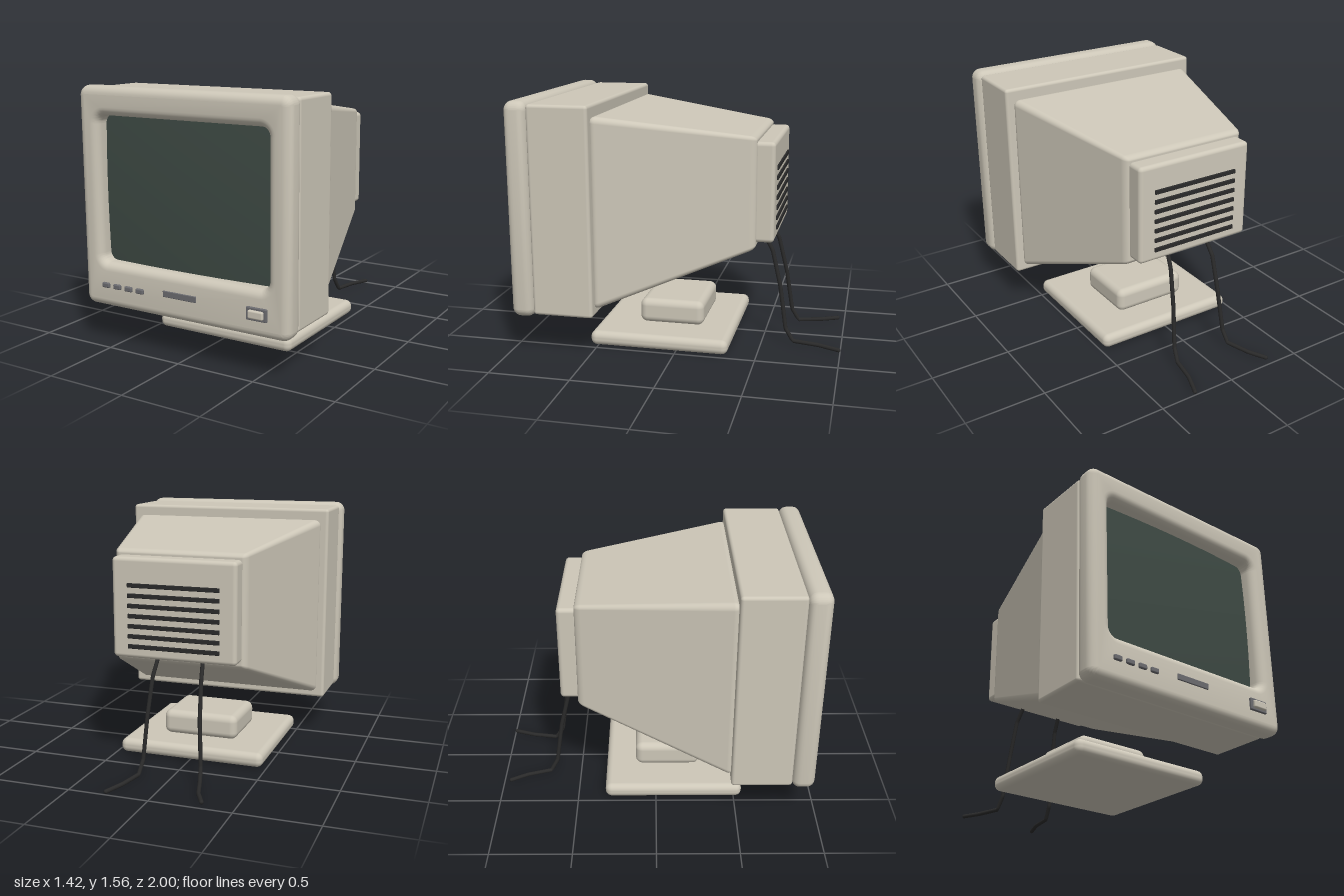
import * as THREE from 'three';
import { RoundedBoxGeometry } from 'three/addons/geometries/RoundedBoxGeometry.js';
import { mergeVertices, toCreasedNormals } from 'three/addons/utils/BufferGeometryUtils.js';

const mat = (color) => new THREE.MeshStandardMaterial({ color });

// Rounded rectangle outline, used for both the bezel and its opening
function roundedRect(path, x0, x1, y0, y1, r) {
  path.moveTo(x0 + r, y0);
  path.lineTo(x1 - r, y0);
  path.absarc(x1 - r, y0 + r, r, -Math.PI / 2, 0);
  path.lineTo(x1, y1 - r);
  path.absarc(x1 - r, y1 - r, r, 0, Math.PI / 2);
  path.lineTo(x0 + r, y1);
  path.absarc(x0 + r, y1 - r, r, Math.PI / 2, Math.PI);
  path.lineTo(x0, y0 + r);
  path.absarc(x0 + r, y0 + r, r, Math.PI, Math.PI * 1.5);
  return path;
}

// Rear housing: a rounded box that narrows towards the back, normals adjusted to match
function taperedHousing() {
  const zFront = 0.47, zBack = -0.48, depth = zFront - zBack;
  const geo = new RoundedBoxGeometry(1.3, 1.18, depth, 5, 0.04);
  geo.translate(0, 0, (zFront + zBack) / 2);
  const pos = geo.attributes.position, nor = geo.attributes.normal;
  const n = new THREE.Vector3();
  const dsx = (1 - 0.63) / depth, dsy = (1 - 0.575) / depth, dcy = (0.885 - 1.01) / depth;
  for (let i = 0; i < pos.count; i++) {
    const x = pos.getX(i), y = pos.getY(i), z = pos.getZ(i);
    const d = z - zBack;
    const sx = 0.63 + dsx * d, sy = 0.575 + dsy * d, cy = 1.01 + dcy * d;
    n.fromBufferAttribute(nor, i);
    n.set(n.x / sx, n.y / sy, n.z - n.x * x * dsx / sx - n.y * (y * dsy + dcy) / sy).normalize();
    pos.setXYZ(i, x * sx, y * sy + cy, z);
    nor.setXYZ(i, n.x, n.y, n.z);
  }
  return geo;
}

export function createModel() {
  const model = new THREE.Group();
  const beige = mat(0xcdc7b8), grey = mat(0x6c6c70), dark = mat(0x2a2a2a), glass = mat(0x3e4a44);

  const add = (name, geo, material) => {
    const mesh = new THREE.Mesh(geo, material);
    mesh.name = name;
    model.add(mesh);
    return mesh;
  };
  // Rounded box given by its extents
  const box = (name, [x0, x1], [y0, y1], [z0, z1], r, material = beige) => {
    const geo = new RoundedBoxGeometry(x1 - x0, y1 - y0, z1 - z0, 4, r);
    add(name, geo, material).position.set((x0 + x1) / 2, (y0 + y1) / 2, (z0 + z1) / 2);
  };

  // Stand
  box('standBase', [-0.475, 0.475], [0, 0.092], [-0.325, 0.55], 0.04);
  box('standNeck', [-0.248, 0.248], [0.092, 0.25], [-0.132, 0.285], 0.045);

  // Bezel with a softly rounded opening
  const b = 0.05;
  const outline = roundedRect(new THREE.Shape(), -0.708 + b, 0.708 - b, 0.24 + b, 1.557 - b, 0.008);
  outline.holes.push(roundedRect(new THREE.Path(), -0.573 - b, 0.573 + b, 0.513 - b, 1.387 + b, 0.1));
  let bezel = new THREE.ExtrudeGeometry(outline, {
    depth: 0.14 - 2 * b, bevelSize: b, bevelThickness: b, bevelSegments: 6, curveSegments: 8,
  });
  bezel.translate(0, 0, 0.83 + b);
  bezel = toCreasedNormals(mergeVertices(bezel), 0.6);
  add('bezel', bezel, beige);

  // Slightly domed screen
  const screen = new THREE.PlaneGeometry(1.2, 0.93, 20, 16);
  const p = screen.attributes.position;
  for (let i = 0; i < p.count; i++) {
    p.setZ(i, -0.06 * (p.getX(i) ** 2 + p.getY(i) ** 2));
  }
  screen.computeVertexNormals();
  add('screen', screen, glass).position.set(0, 0.95, 0.905);

  // Cabinet
  box('cabinet', [-0.69, 0.69], [0.26, 1.54], [0.458, 0.832], 0.02);
  add('rearHousing', taperedHousing(), beige);
  box('rearCap', [-0.388, 0.388], [0.71, 1.318], [-0.587, -0.46], 0.025);
  for (let i = 0; i < 7; i++) {
    const y = 0.783 + i * 0.0615;
    box('ventSlat', [-0.287, 0.287], [y - 0.013, y + 0.013], [-0.597, -0.57], 0.003, dark);
  }

  // Front controls
  for (let i = 0; i < 4; i++) {
    const x = -0.537 + i * 0.084;
    box('controlButton', [x - 0.027, x + 0.027], [0.363, 0.394], [0.95, 0.984], 0.008, grey);
  }
  box('labelPlate', [-0.117, 0.113], [0.374, 0.411], [0.95, 0.977], 0.004, grey);
  box('powerHousing', [0.447, 0.577], [0.342, 0.416], [0.95, 0.984], 0.005, grey);
  box('powerButton', [0.465, 0.561], [0.355, 0.403], [0.96, 1.0], 0.01);

  // Cables hanging from the rear cap and trailing along the ground
  const cable = (name, points) => {
    const path = new THREE.CurvePath();
    const v = points.map((q) => new THREE.Vector3(...q));
    for (let i = 1; i < v.length; i++) path.add(new THREE.LineCurve3(v[i - 1], v[i]));
    add(name, new THREE.TubeGeometry(path, 60, 0.013, 8), dark);
    // End caps
    for (const end of [v[0], v[v.length - 1]]) {
      add(name + 'End', new THREE.SphereGeometry(0.013, 8, 6), dark).position.copy(end);
    }
  };
  cable('rightCable', [[-0.15, 0.73, -0.48], [-0.165, 0.6, -0.56], [-0.175, 0.37, -0.615],
    [-0.195, 0.1, -0.655], [-0.205, 0.022, -0.7], [-0.25, 0.02, -0.85], [-0.305, 0.018, -0.955]]);
  cable('leftCable', [[0.13, 0.73, -0.48], [0.145, 0.6, -0.555], [0.16, 0.37, -0.61],
    [0.175, 0.1, -0.65], [0.185, 0.022, -0.7], [0.215, 0.02, -0.86], [0.265, 0.016, -0.99]]);

  return model;
}
